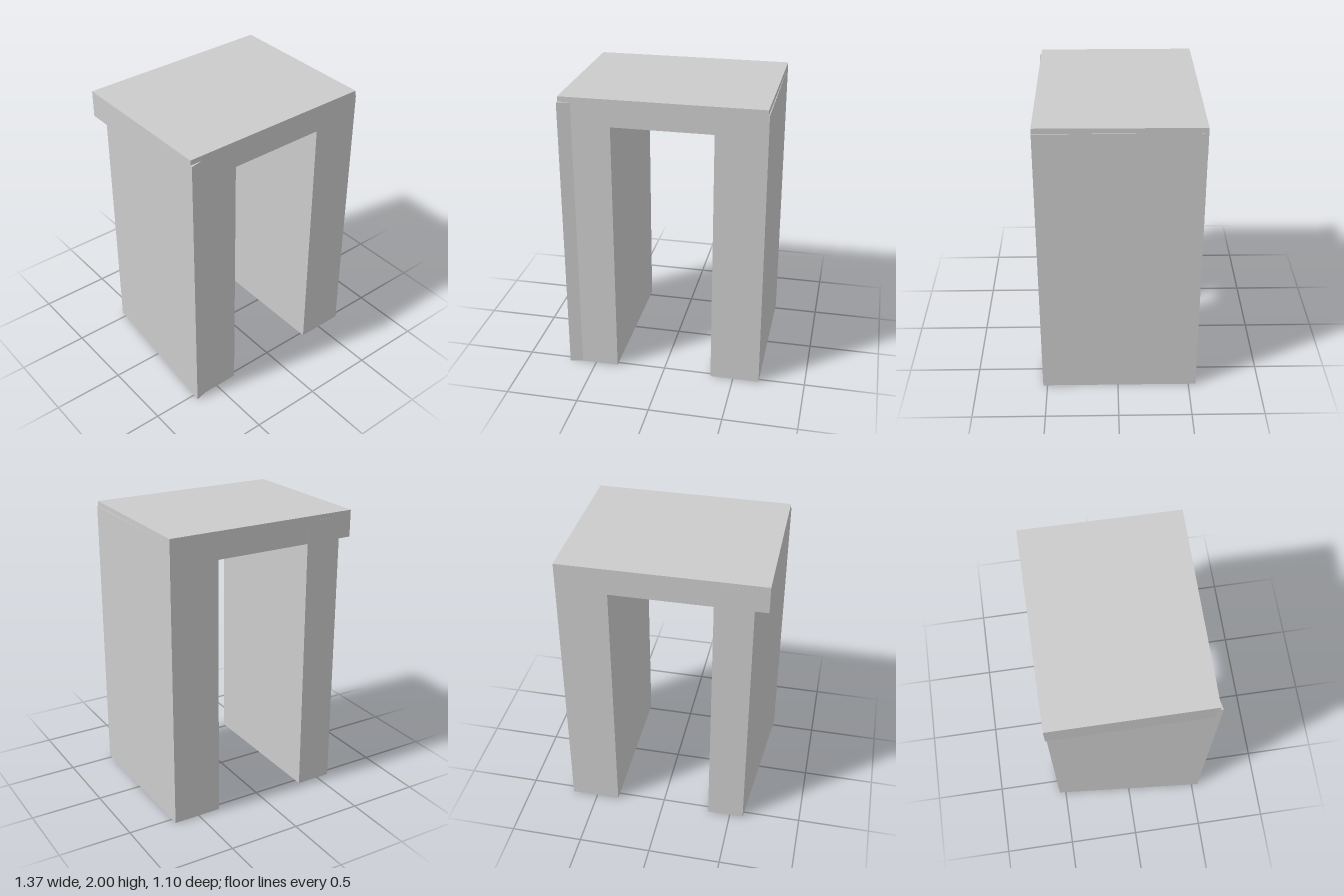
import * as THREE from 'three';

const material = new THREE.MeshStandardMaterial({ color: 0xcccccc, flatShading: true });

// Upright prism from a plan outline of [x, z] points, between two heights
function prism(name, plan, bottom, top) {
  const shape = new THREE.Shape(plan.map(([x, z]) => new THREE.Vector2(x, -z)));
  const geometry = new THREE.ExtrudeGeometry(shape, { depth: top - bottom, bevelEnabled: false });
  geometry.rotateX(-Math.PI / 2).translate(0, bottom, 0);
  const mesh = new THREE.Mesh(geometry, material);
  mesh.name = name;
  return mesh;
}

export function createModel() {
  const group = new THREE.Group();
  group.name = 'archBlock';
  const opening = 0.34;   // half width of the passage
  const lintel = 1.815;   // underside of the top slab
  const legTop = 1.965;   // legs run up into the slab

  // Top slab, slightly narrower towards the front on its left side
  group.add(prism('topSlab', [
    [-0.685, 0.53], [0.675, 0.53], [0.682, -0.553], [-0.685, -0.546],
  ], lintel, 2));

  // Straight left leg
  group.add(prism('leftLeg', [
    [opening, 0.53], [0.682, 0.53], [0.682, -0.552], [opening, -0.55],
  ], 0, legTop));

  // Right leg: outer wall flares forwards, ending in a small pointed corner
  group.add(prism('rightLeg', [
    [-0.688, 0.548], [-0.6, 0.53], [-opening, 0.53], [-opening, -0.548], [-0.595, -0.547],
  ], 0, legTop));

  return group;
}
